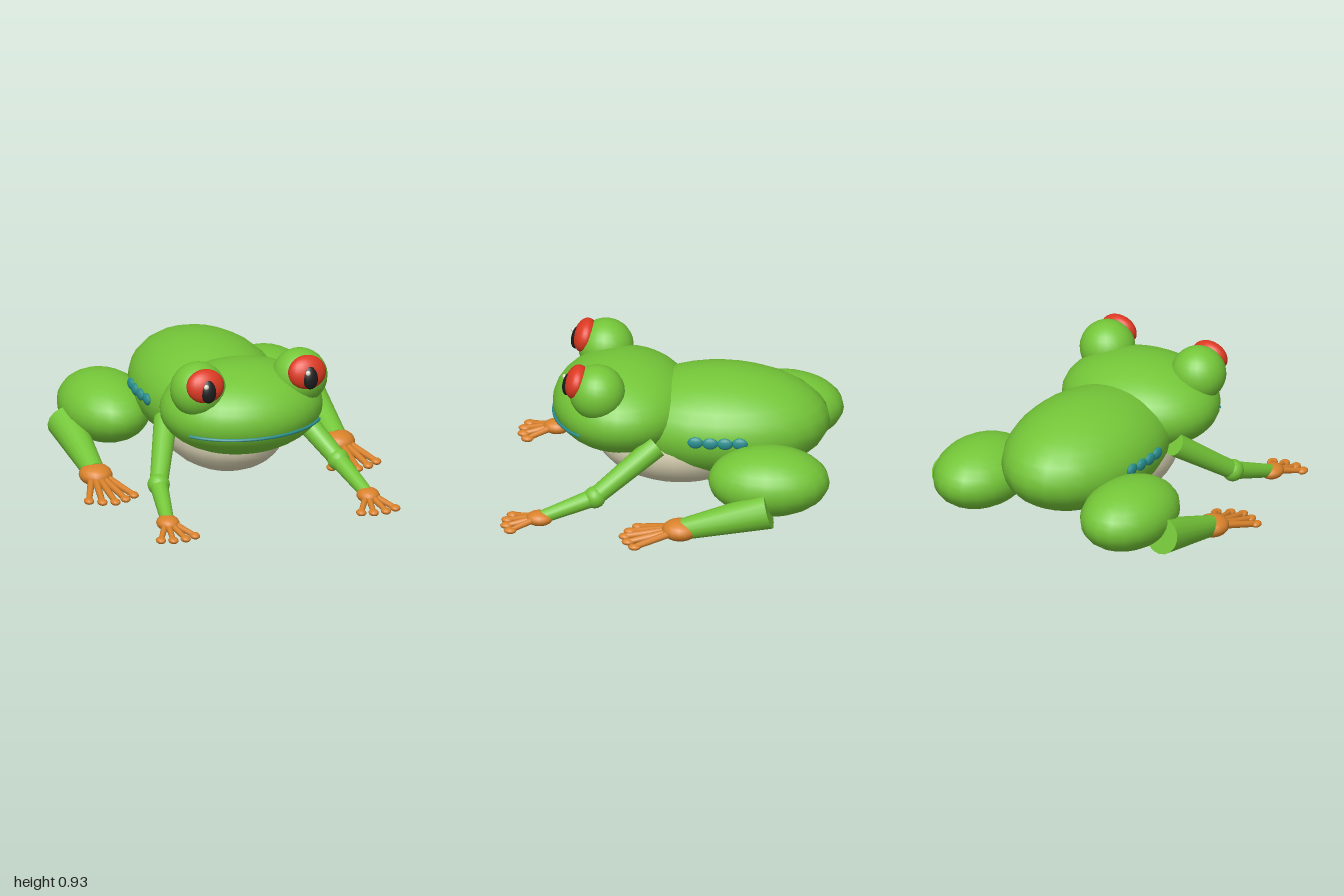
import * as THREE from 'three';

const mat = (name, color) => {
  const m = new THREE.MeshStandardMaterial({ color });
  m.name = name;
  return m;
};

export function createModel() {
  const green = mat('leaf green', 0x74c638);
  const cream = mat('belly cream', 0xdcd6b6);
  const orange = mat('foot orange', 0xd9822b);
  const red = mat('eye red', 0xdd3a22);
  const black = mat('pupil black', 0x1c1c1c);
  const teal = mat('teal', 0x2a9090);
  const white = mat('glint white', 0xf4f0e0);

  const frog = new THREE.Group();
  frog.name = 'frog';

  const add = (parent, name, geometry, material) => {
    const mesh = new THREE.Mesh(geometry, material);
    mesh.name = name;
    parent.add(mesh);
    return mesh;
  };
  const group = (name) => {
    const g = new THREE.Group();
    g.name = name;
    frog.add(g);
    return g;
  };
  // Ellipsoid from centre and radii
  const blob = (parent, name, material, [x, y, z], [rx, ry, rz], w = 24, h = 16) => {
    const mesh = add(parent, name, new THREE.SphereGeometry(1, w, h), material);
    mesh.position.set(x, y, z);
    mesh.scale.set(rx, ry, rz);
    return mesh;
  };
  // Tapered limb running from a to b
  const limb = (parent, name, material, a, b, ra, rb, sides = 16) => {
    const start = new THREE.Vector3(...a), end = new THREE.Vector3(...b);
    const dir = end.clone().sub(start);
    const mesh = add(parent, name, new THREE.CylinderGeometry(rb, ra, dir.length(), sides), material);
    mesh.position.copy(start).add(end).multiplyScalar(0.5);
    mesh.quaternion.setFromUnitVectors(new THREE.Vector3(0, 1, 0), dir.normalize());
    return mesh;
  };
  // Foot pad with splayed digits; tips are [x offset, z]
  const foot = (parent, name, center, radii, tips, digitRadius) => {
    blob(parent, name, orange, center, radii, 16, 12);
    for (const [dx, z] of tips) {
      const tip = [center[0] + dx, 0.027, z];
      limb(parent, name + 'Digit', orange, [center[0] + dx * 0.25, center[1], center[2] + 0.03], tip,
        digitRadius * 1.1, digitRadius * 0.85, 8);
      blob(parent, name + 'Tip', orange, tip, [0.031, 0.02, 0.039], 12, 8);
    }
  };

  // Trunk and head
  blob(frog, 'body', green, [0, 0.48, -0.3], [0.44, 0.32, 0.66]);
  blob(frog, 'belly', cream, [0, 0.35, -0.04], [0.375, 0.27, 0.5]);
  blob(frog, 'head', green, [0, 0.575, 0.3], [0.505, 0.275, 0.425], 32, 20);

  // Mouth line wrapped round the snout
  const mouthPoints = [];
  for (let i = 0; i <= 24; i++) {
    const t = -1 + i / 12;
    mouthPoints.push(new THREE.Vector3(0.5 * Math.sin(t), 0.51, 0.3 + 0.42 * Math.cos(t)));
  }
  add(frog, 'mouth', new THREE.TubeGeometry(new THREE.CatmullRomCurve3(mouthPoints), 40, 0.01, 6), teal);

  for (const s of [1, -1]) {
    const side = s > 0 ? 'left' : 'right';

    // Eyes
    const eye = group(side + 'Eye');
    blob(eye, 'eyeBulge', green, [s * 0.33, 0.77, 0.43], [0.17, 0.17, 0.17]);
    blob(eye, 'iris', red, [s * 0.33, 0.835, 0.555], [0.12, 0.105, 0.07]).rotation.x = -0.25;
    blob(eye, 'pupil', black, [s * 0.33, 0.82, 0.605], [0.051, 0.075, 0.036], 20, 14).rotation.x = -0.2;
    blob(eye, 'glint', white, [s * 0.33 - 0.022, 0.857, 0.632], [0.016, 0.016, 0.012], 10, 8);

    // Flank spots
    for (let i = 0; i < 4; i++) {
      const z = -0.175 - i * 0.09;
      const x = 0.438 * Math.sqrt(1 - ((z + 0.3) / 0.66) ** 2);
      blob(frog, side + 'FlankSpot', teal, [s * x, 0.5, z], [0.02, 0.037, 0.049], 12, 8);
    }

    // Front leg
    const front = group(side + 'FrontLeg');
    const elbow = [s * 0.583, 0.185, 0.425];
    const wrist = [s * 0.65, 0.065, 0.755];
    limb(front, 'upperArm', green, [s * 0.4, 0.455, 0.065], elbow, 0.073, 0.056);
    blob(front, 'elbow', green, elbow, [0.068, 0.068, 0.068], 16, 12);
    limb(front, 'forearm', green, elbow, wrist, 0.056, 0.04);
    foot(front, 'hand', wrist, [0.07, 0.045, 0.082],
      [[-0.11, 0.925], [-0.04, 0.952], [0.04, 0.952], [0.11, 0.925]], 0.019);

    // Hind leg
    const hind = group(side + 'HindLeg');
    blob(hind, 'thigh', green, [s * 0.535, 0.315, -0.63], [0.272, 0.207, 0.37], 20, 16);
    limb(hind, 'shin', green, [s * 0.778, 0.23, -0.65], [s * 0.787, 0.09, -0.13], 0.113, 0.066);
    foot(hind, 'foot', [s * 0.787, 0.085, -0.11], [0.102, 0.065, 0.11],
      [[-0.145, 0.155], [-0.075, 0.2], [0, 0.225], [0.075, 0.2], [0.145, 0.155]], 0.022);
  }
  return frog;
}
